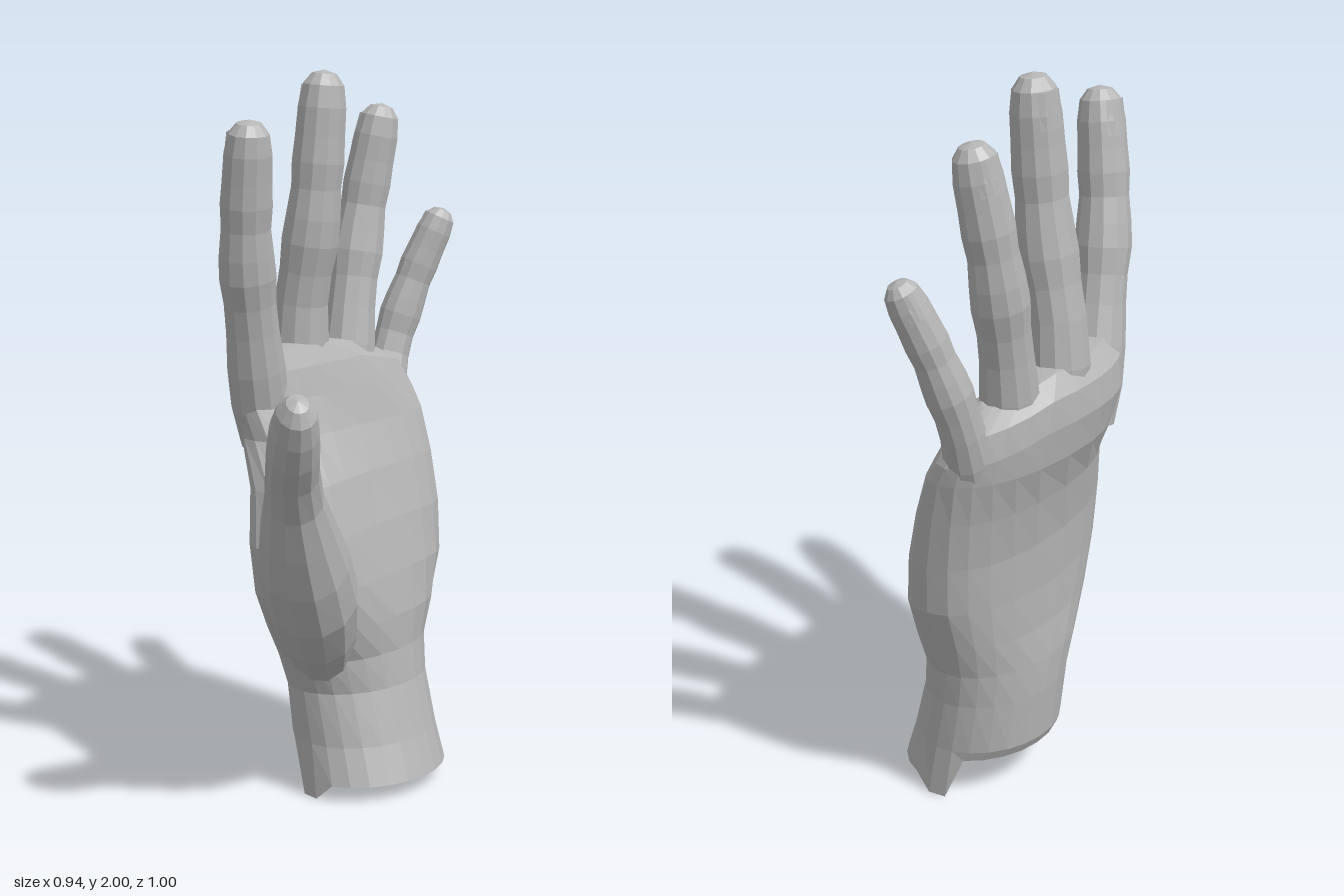
import * as THREE from 'three';

const V = (x, y, z) => new THREE.Vector3(x, y, z);

// Skin a list of equal-sized rings, closing the last one to a point.
function loft(rings, tip) {
  const n = rings[0].length, index = [];
  const pts = [...rings.flat(), tip];
  for (let i = 0; i < rings.length - 1; i++) {
    for (let j = 0; j < n; j++) {
      const a = i * n + j, b = i * n + (j + 1) % n;
      index.push(a, b, a + n, b, b + n, a + n);
    }
  }
  const last = (rings.length - 1) * n;
  for (let j = 0; j < n; j++) index.push(last + j, last + (j + 1) % n, pts.length - 1);
  const g = new THREE.BufferGeometry().setFromPoints(pts);
  g.setIndex(index);
  g.computeVertexNormals();
  return g;
}

// Sideways, back-facing and lengthwise axes of a digit at one point of its curve.
function frame(curve, s, back) {
  const t = curve.getTangentAt(s);
  const n = back.clone().addScaledVector(t, -back.dot(t)).normalize();
  return { c: curve.getPointAt(s), t, n, side: n.clone().cross(t) };
}

export function createModel() {
  const hand = new THREE.Group();
  hand.name = 'hand';
  const skin = new THREE.MeshStandardMaterial({ color: 0xb5b5b5, flatShading: true, side: THREE.DoubleSide });
  skin.name = 'grey skin';
  const add = (name, geometry, parent = hand) => {
    const m = new THREE.Mesh(geometry, skin);
    m.name = name;
    parent.add(m);
    return m;
  };

  // Wrist and palm: y, thumb-side x z, little-finger-side x z, half thickness, backward bow, palm hollow, squareness
  const sections = [
    [0.03, -0.16, -0.01, 0.27, -0.21, 0.195, 0, 0, 2],
    [0.15, -0.16, -0.04, 0.255, -0.23, 0.185, 0, 0, 2],
    [0.30, -0.175, -0.06, 0.245, -0.26, 0.17, 0, 0, 2],
    [0.40, -0.21, -0.04, 0.25, -0.28, 0.165, 0, 0, 2.1],
    [0.50, -0.26, 0.02, 0.28, -0.30, 0.17, 0, 0.1, 2.3],
    [0.62, -0.32, 0.10, 0.32, -0.32, 0.17, 0.02, 0.22, 2.4],
    [0.76, -0.34, 0.11, 0.33, -0.34, 0.16, 0.03, 0.28, 2.5],
    [0.90, -0.315, 0.04, 0.33, -0.37, 0.145, 0.035, 0.24, 2.5],
    [1.02, -0.305, -0.08, 0.325, -0.40, 0.13, 0.03, 0.14, 2.5],
    [1.12, -0.33, -0.11, 0.315, -0.42, 0.118, 0.03, 0.05, 2.4],
    [1.20, -0.33, -0.11, 0.28, -0.43, 0.1, 0.03, 0, 2.3],
    [1.25, -0.29, -0.12, 0.19, -0.39, 0.065, 0.025, 0, 2],
  ];
  const N = 24;
  const rings = sections.map(([y, x0, z0, x1, z1, thick, bow, hollow, power], row) => {
    const half = V((x1 - x0) / 2, 0, (z1 - z0) / 2);
    const mid = V((x0 + x1) / 2, y, (z0 + z1) / 2);
    const front = V(-half.z, 0, half.x).normalize();
    const round = (q) => Math.sign(q) * Math.abs(q) ** (2 / power);
    return Array.from({ length: N }, (_, j) => {
      const a = (j / N) * Math.PI * 2;
      const u = round(Math.cos(a));
      let v = -round(Math.sin(a));
      const dome = 1 - u * u;
      if (v > 0) v *= 1 - hollow * dome;
      const p = mid.clone().addScaledVector(half, u).addScaledVector(front, v * thick - bow * dome);
      // Uneven open cuff: raised at the back, with a tail on each side
      if (row === 0) p.y = v < -0.45 ? 0.12 : v < 0.1 ? 0 : 0.045;
      // Knuckles drop towards the little finger
      if (row > 8) p.y -= 0.07 * Math.max(0, u - 0.3);
      return p;
    });
  });
  add('palmAndWrist', loft(rings, V(-0.04, 1.26, -0.28)));

  // Digits: path, radius, back direction, width scale. Joints swell along a shared profile.
  const profile = [[0, 0.9], [0.12, 1.1], [0.24, 1.1], [0.36, 1], [0.45, 0.98], [0.53, 1.07], [0.6, 1.02],
    [0.68, 0.92], [0.75, 0.97], [0.82, 0.92], [0.9, 0.89], [0.96, 0.76], [0.99, 0.46]];
  const thumbProfile = [[0, 0.09], [0.14, 0.12], [0.27, 0.135], [0.4, 0.13], [0.52, 0.108], [0.64, 0.082],
    [0.75, 0.074], [0.83, 0.073], [0.9, 0.067], [0.96, 0.054], [0.99, 0.03]];
  const digits = [
    ['indexFinger', [[-0.24, 1, -0.17], [-0.29, 1.28, -0.115], [-0.33, 1.55, -0.065], [-0.34, 1.885, -0.01]], 0.075, [-0.5, 0, -0.85], profile, 1],
    ['middleFinger', [[-0.07, 1, -0.27], [-0.085, 1.3, -0.275], [-0.06, 1.6, -0.235], [-0.03, 2, -0.22]], 0.078, [-0.45, 0, -0.9], profile, 1],
    ['ringFinger', [[0.08, 1, -0.33], [0.11, 1.28, -0.365], [0.165, 1.58, -0.4], [0.225, 1.895, -0.39]], 0.074, [-0.35, 0, -0.93], profile, 1],
    ['littleFinger', [[0.2, 0.93, -0.36], [0.275, 1.18, -0.435], [0.35, 1.38, -0.44], [0.44, 1.585, -0.42]], 0.059, [-0.25, 0, -0.95], profile, 1],
    ['thumb', [[-0.11, 0.4, -0.08], [-0.2, 0.6, 0.06], [-0.27, 0.76, 0.15], [-0.35, 0.97, 0.28], [-0.39, 1.09, 0.375], [-0.42, 1.235, 0.475]], 1, [-0.9, 0.1, -0.1], thumbProfile, 1.14],
  ];
  for (const [name, path, radius, dir, shape, wide] of digits) {
    const group = new THREE.Group();
    group.name = name;
    hand.add(group);
    const curve = new THREE.CatmullRomCurve3(path.map((p) => V(...p)));
    const back = V(...dir);
    const digitRings = shape.map(([s, k]) => {
      const { c, n, side } = frame(curve, s, back);
      const r = radius * k;
      return Array.from({ length: 12 }, (_, j) => {
        const a = (j / 12) * Math.PI * 2;
        return c.clone().addScaledVector(side, r * wide * Math.cos(a)).addScaledVector(n, r * 0.95 * Math.sin(a));
      });
    });
    add(name + 'Flesh', loft(digitRings, curve.getPointAt(1)), group);

    // Curved nail plate on the back of the tip
    const { c, t, n, side } = frame(curve, 0.91, back);
    const r = name === 'thumb' ? 0.062 : radius * 0.87;
    const nail = add(name + 'Nail', new THREE.CylinderGeometry(r * 0.9, r, r * 1.4, 6, 1, true, -0.8, 1.6), group);
    nail.quaternion.setFromRotationMatrix(new THREE.Matrix4().makeBasis(side.negate(), t, n));
    nail.position.copy(c);
  }

  // Fleshy web between thumb and index finger
  const web = new THREE.CatmullRomCurve3([V(-0.27, 0.72, 0.07), V(-0.29, 0.85, 0.1), V(-0.31, 0.92, 0.17), V(-0.34, 0.99, 0.27)]);
  add('thumbWeb', new THREE.TubeGeometry(web, 6, 0.05, 8));
  return hand;
}
